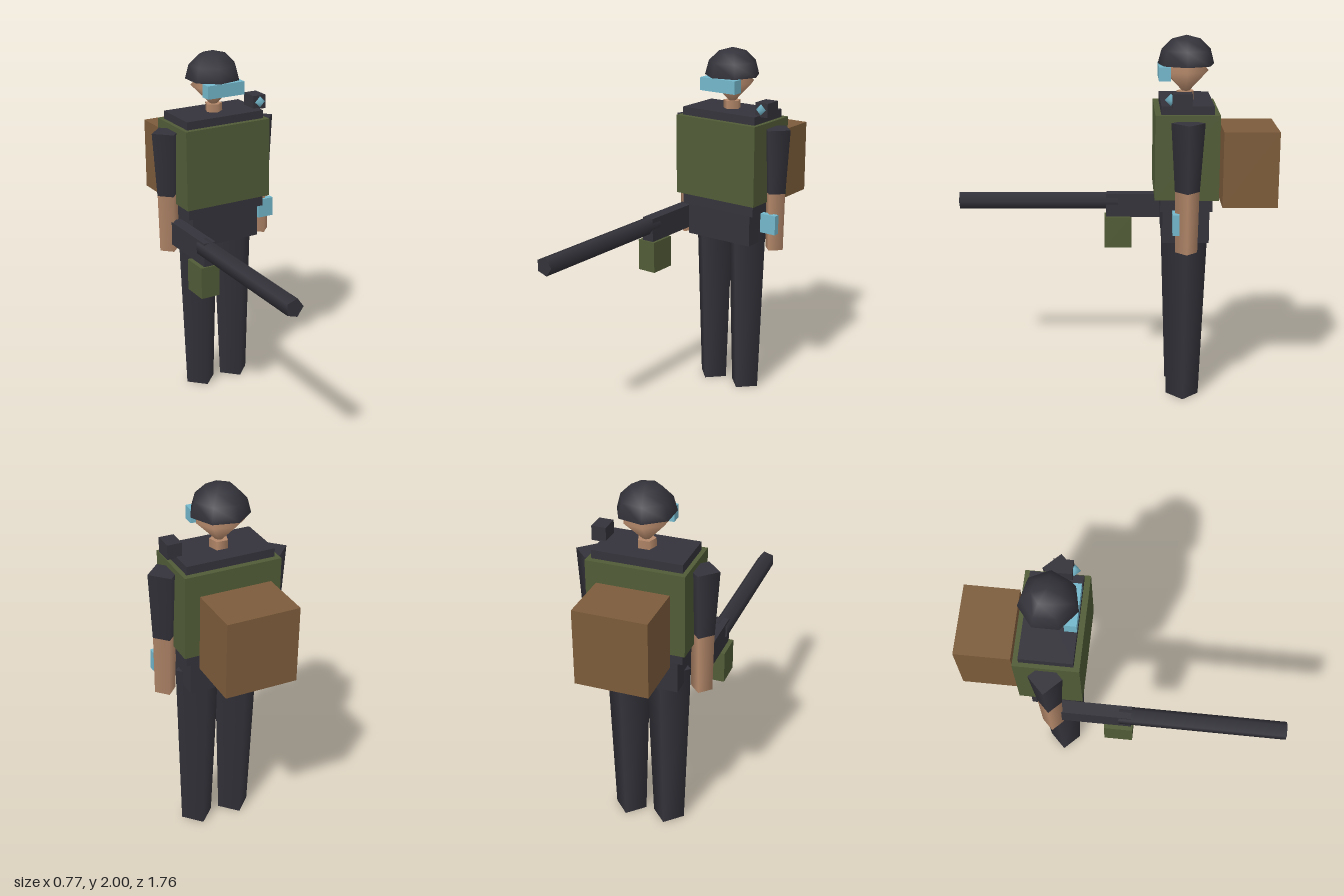
import * as THREE from 'three';

const mat = (name, color, extra = {}) => {
  const m = new THREE.MeshStandardMaterial({ color, ...extra });
  m.name = name;
  return m;
};

export function createModel() {
  const dark = mat('dark cloth', 0x34333b);
  const shell = mat('dark shell', 0x34333b, { side: THREE.DoubleSide });
  const green = mat('olive green', 0x515c37);
  const skin = mat('skin', 0xb4886a);
  const brown = mat('pack brown', 0x7d5c3b);
  const cyan = mat('cyan glass', 0x74b8cc);

  const model = new THREE.Group();
  model.name = 'soldier';
  const Z = -0.39; // body centre line

  const add = (name, geometry, material, x, y, z) => {
    const mesh = new THREE.Mesh(geometry, material);
    mesh.name = name;
    mesh.position.set(x, y, z);
    model.add(mesh);
    return mesh;
  };
  // box from its extents
  const box = (name, material, [x0, x1], [y0, y1], [z0, z1]) =>
    add(name, new THREE.BoxGeometry(x1 - x0, y1 - y0, z1 - z0), material,
      (x0 + x1) / 2, (y0 + y1) / 2, (z0 + z1) / 2);
  // upright tapered limb between two heights
  const limb = (name, material, x, y0, y1, rBottom, rTop, sides = 4) =>
    add(name, new THREE.CylinderGeometry(rTop, rBottom, y1 - y0, sides), material, x, (y0 + y1) / 2, Z);

  // torso, hips and vest
  box('hips', dark, [-0.21, 0.21], [0.915, 1.1], [Z - 0.125, Z + 0.125]);
  box('torso', dark, [-0.24, 0.24], [1.095, 1.66], [Z - 0.138, Z + 0.138]);
  box('vest', green, [-0.263, 0.263], [1.163, 1.615], [Z - 0.169, Z + 0.169]);
  box('backpack', brown, [-0.194, 0.194], [1.105, 1.515], [-0.88, -0.585]);

  // legs and arms
  for (const [side, s] of [['left', 1], ['right', -1]]) {
    limb(side + 'Leg', dark, s * 0.113, 0, 0.99, 0.09, 0.125);
    limb(side + 'Sleeve', dark, s * 0.298, 1.22, 1.583, 0.065, 0.088);
    limb(side + 'Forearm', skin, s * 0.298, 0.89, 1.22, 0.058, 0.064);
  }

  // neck, head and helmet
  limb('neck', skin, 0, 1.6, 1.705, 0.05, 0.05, 5);
  add('head', new THREE.SphereGeometry(0.126, 7, 2), skin, 0, 1.81, Z).rotation.y = Math.PI;
  add('helmet', new THREE.SphereGeometry(0.155, 7, 3, 0, Math.PI * 2, 0, Math.PI / 2),
    shell, 0, 1.845, Z).rotation.y = Math.PI;
  box('goggles', cyan, [-0.114, 0.114], [1.77, 1.843], [-0.305, -0.242]);

  // shoulder radio with lamp, wrist display
  box('shoulderRadio', dark, [0.21, 0.288], [1.653, 1.731], [-0.41, -0.307]);
  add('radioLamp', new THREE.SphereGeometry(0.032, 4, 2), cyan, 0.249, 1.695, -0.3);
  box('wristDisplay', cyan, [0.25, 0.347], [0.995, 1.105], [-0.35, -0.315]);

  // rifle
  box('rifleReceiver', dark, [-0.306, -0.236], [0.935, 1.07], [-0.36, 0.04]);
  box('rifleMagazine', green, [-0.33, -0.22], [0.756, 0.935], [-0.106, 0.05]);
  const barrel = new THREE.CylinderGeometry(0.051, 0.051, 0.907, 5, 1, false, Math.PI / 2);
  barrel.rotateX(Math.PI / 2);
  add('rifleBarrel', barrel, dark, -0.274, 1.026, 0.4265);

  return model;
}
